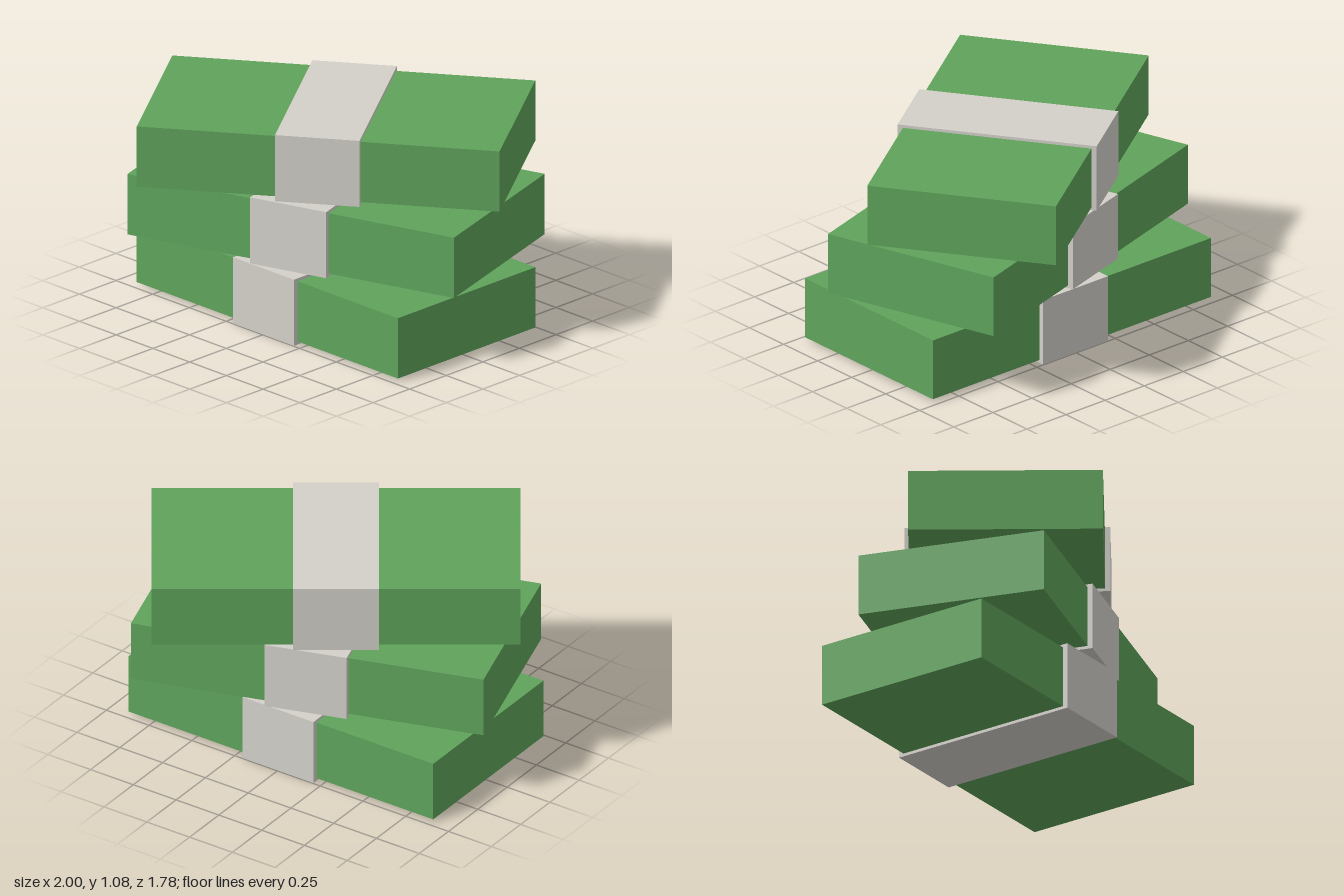
import * as THREE from 'three';

export function createModel() {
  const model = new THREE.Group();
  model.name = 'bundleStack';

  const green = new THREE.MeshStandardMaterial({ color: 0x5fa35b });
  green.name = 'paper green';
  const grey = new THREE.MeshStandardMaterial({ color: 0xd3d0c9 });
  grey.name = 'band grey';

  const notesGeometry = new THREE.BoxGeometry(1.78, 0.313, 0.94);
  const bandGeometry = new THREE.BoxGeometry(0.415, 0.343, 0.992);

  // Three banded bundles, each turned a little further than the one below
  for (let i = 0; i < 3; i++) {
    const bundle = new THREE.Group();
    bundle.name = `bundle${i + 1}`;

    const notes = new THREE.Mesh(notesGeometry, green);
    notes.name = 'paperBlock';

    // Wrapper standing slightly proud of the paper on every side
    const band = new THREE.Mesh(bandGeometry, grey);
    band.name = 'paperBand';

    bundle.add(notes, band);
    bundle.position.y = 0.1715 + i * 0.366;
    bundle.rotation.y = i * 0.3;
    model.add(bundle);
  }

  return model;
}
